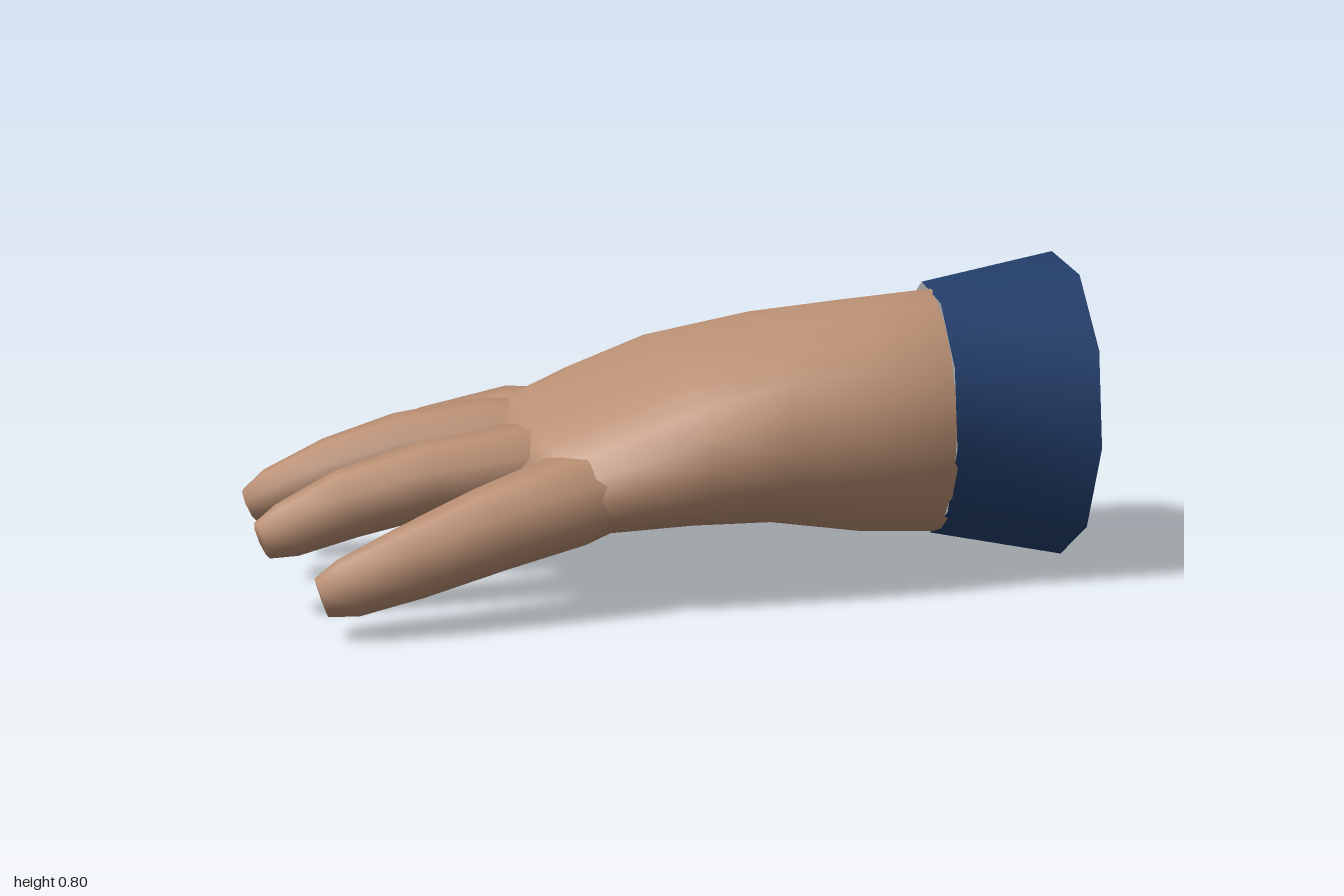
import * as THREE from 'three';

const V = (x, y, z) => new THREE.Vector3(x, y, z);
const mat = (name, color) => {
  const m = new THREE.MeshStandardMaterial({ color });
  m.name = name;
  return m;
};

// A ring of points: centre c, half-axes u and v, optional squareness and forward bow
function ring(c, u, v, n, { phase = 0, power = 1, bow = null } = {}) {
  const pts = [];
  for (let j = 0; j < n; j++) {
    const a = phase + (j / n) * Math.PI * 2;
    const s = (k) => Math.sign(k) * Math.abs(k) ** power;
    const p = c.clone().addScaledVector(u, s(Math.cos(a))).addScaledVector(v, s(Math.sin(a)));
    if (bow) p.addScaledVector(bow, 1 - Math.cos(a) ** 2);
    pts.push(p);
  }
  return pts;
}

// Skin joining successive rings, with optional end caps
function loft(rings, sides = true, startCap = false, endCap = false) {
  const n = rings[0].length, pos = [], idx = [];
  rings.forEach((r) => r.forEach((p) => pos.push(p.x, p.y, p.z)));
  if (sides) {
    for (let i = 0; i < rings.length - 1; i++) {
      for (let j = 0; j < n; j++) {
        const a = i * n + j, b = i * n + ((j + 1) % n);
        idx.push(a, b, b + n, a, b + n, a + n);
      }
    }
  }
  const cap = (i, flip) => {
    const c = V(0, 0, 0);
    rings[i].forEach((p) => c.addScaledVector(p, 1 / n));
    const k = pos.length / 3;
    pos.push(c.x, c.y, c.z);
    for (let j = 0; j < n; j++) {
      const a = i * n + j, b = i * n + ((j + 1) % n);
      if (flip) idx.push(k, b, a);
      else idx.push(k, a, b);
    }
  };
  if (startCap) cap(0, true);
  if (endCap) cap(rings.length - 1, false);
  const g = new THREE.BufferGeometry();
  g.setAttribute('position', new THREE.Float32BufferAttribute(pos, 3));
  g.setIndex(idx);
  g.computeVertexNormals();
  return g;
}

// Finger from stations [x, y, z, half width, half height]
function finger(stations) {
  const pts = stations.map((s) => V(s[0], s[1], s[2]));
  const rings = stations.map((s, i) => {
    const t = pts[Math.min(i + 1, pts.length - 1)].clone().sub(pts[Math.max(i - 1, 0)]).normalize();
    const u = V(0, 1, 0).cross(t).normalize();
    const v = t.clone().cross(u);
    return ring(pts[i], u.multiplyScalar(s[3]), v.multiplyScalar(s[4]), 8, { phase: Math.PI / 8 });
  });
  return loft(rings, true, true, true);
}

export function createModel() {
  const skin = mat('skin', 0xb98f73);
  const cloth = mat('navyCloth', 0x223e6b);
  const grey = mat('greyEnd', 0xacacac);
  const group = new THREE.Group();
  group.name = 'handWithCuff';
  const add = (name, geo, m) => {
    const mesh = new THREE.Mesh(geo, m);
    mesh.name = name;
    group.add(mesh);
  };

  // Sleeve cuff: ten-sided flare, closed at both ends
  const phase = -0.12;
  const back = ring(V(0.68, 0.42, -0.765), V(0.27, 0, 0.238), V(0, 0.395, 0), 10, { phase });
  const front = ring(V(0.48, 0.433, -0.45), V(0.243, 0, 0.235), V(0.005, 0.322, 0.01), 10, { phase });
  add('cuff', loft([back, front]), cloth);
  add('cuffBackEnd', loft([back, front], false, true, false), grey);
  add('cuffFrontEnd', loft([back, front], false, false, true), grey);

  // Wrist and palm: [thumb side x, z, little finger side x, z, y of each side, half height, bow, squareness]
  const palm = [
    [0.37, -0.76, 0.75, -0.38, 0.43, 0.42, 0.27, 0, 1],
    [0.277, -0.645, 0.716, -0.222, 0.43, 0.43, 0.313, 0, 1.08],
    [0.10, -0.53, 0.61, -0.05, 0.43, 0.42, 0.29, 0, 0.98],
    [-0.10, -0.38, 0.48, 0.13, 0.445, 0.41, 0.25, 0, 0.9],
    [-0.27, -0.20, 0.35, 0.28, 0.435, 0.375, 0.215, 0.02, 0.9],
    [-0.40, -0.06, 0.22, 0.42, 0.395, 0.325, 0.17, 0.04, 0.9],
    [-0.46, 0.07, 0.11, 0.50, 0.365, 0.295, 0.128, 0.06, 0.85],
    [-0.45, 0.15, 0.05, 0.52, 0.345, 0.285, 0.075, 0.07, 0.85],
  ].map(([lx, lz, rx, rz, ly, ry, h, bow, power]) => {
    const L = V(lx, ly, lz), R = V(rx, ry, rz);
    return ring(L.clone().add(R).multiplyScalar(0.5), R.clone().sub(L).multiplyScalar(0.5), V(0, h, 0), 20,
      { power, bow: V(-0.66, 0, 0.75).multiplyScalar(bow) });
  });
  add('palm', loft(palm, true, true, true), skin);

  // Fingers, slightly bent and tapering to blunt tips
  add('indexFinger', finger([
    [-0.24, 0.39, -0.01, 0.10, 0.07],
    [-0.44, 0.37, 0.11, 0.135, 0.095],
    [-0.60, 0.32, 0.245, 0.104, 0.094],
    [-0.76, 0.24, 0.36, 0.086, 0.086],
    [-0.88, 0.168, 0.43, 0.073, 0.07],
    [-0.928, 0.138, 0.465, 0.05, 0.048],
  ]), skin);
  add('middleFinger', finger([
    [-0.18, 0.39, 0.08, 0.10, 0.07],
    [-0.385, 0.37, 0.275, 0.135, 0.095],
    [-0.51, 0.348, 0.445, 0.1, 0.092],
    [-0.63, 0.297, 0.57, 0.086, 0.086],
    [-0.745, 0.235, 0.67, 0.072, 0.07],
    [-0.79, 0.208, 0.705, 0.05, 0.048],
  ]), skin);
  add('ringFinger', finger([
    [-0.04, 0.36, 0.19, 0.10, 0.07],
    [-0.175, 0.35, 0.41, 0.13, 0.095],
    [-0.29, 0.325, 0.60, 0.098, 0.094],
    [-0.41, 0.275, 0.755, 0.086, 0.086],
    [-0.495, 0.22, 0.87, 0.072, 0.068],
    [-0.525, 0.2, 0.924, 0.05, 0.047],
  ]), skin);
  add('littleFinger', finger([
    [0.14, 0.33, 0.26, 0.10, 0.08],
    [0.045, 0.295, 0.45, 0.12, 0.115],
    [-0.05, 0.243, 0.63, 0.1, 0.105],
    [-0.155, 0.178, 0.80, 0.086, 0.09],
    [-0.245, 0.127, 0.92, 0.072, 0.072],
    [-0.284, 0.108, 0.97, 0.05, 0.048],
  ]), skin);

  // Thumb, rising from the heel of the hand and dropping below the palm
  add('thumb', finger([
    [0.20, 0.36, -0.46, 0.09, 0.2],
    [-0.06, 0.37, -0.32, 0.165, 0.185],
    [-0.27, 0.32, -0.245, 0.165, 0.16],
    [-0.44, 0.235, -0.175, 0.14, 0.13],
    [-0.585, 0.142, -0.095, 0.112, 0.108],
    [-0.69, 0.076, -0.008, 0.09, 0.088],
    [-0.727, 0.052, 0.028, 0.06, 0.056],
  ]), skin);

  // Web of skin filling the fork between thumb and palm
  add('thumbWeb', finger([
    [0.06, 0.45, -0.30, 0.12, 0.12],
    [-0.20, 0.41, -0.19, 0.14, 0.14],
    [-0.39, 0.335, -0.095, 0.115, 0.115],
    [-0.49, 0.27, -0.06, 0.06, 0.07],
  ]), skin);

  return group;
}
